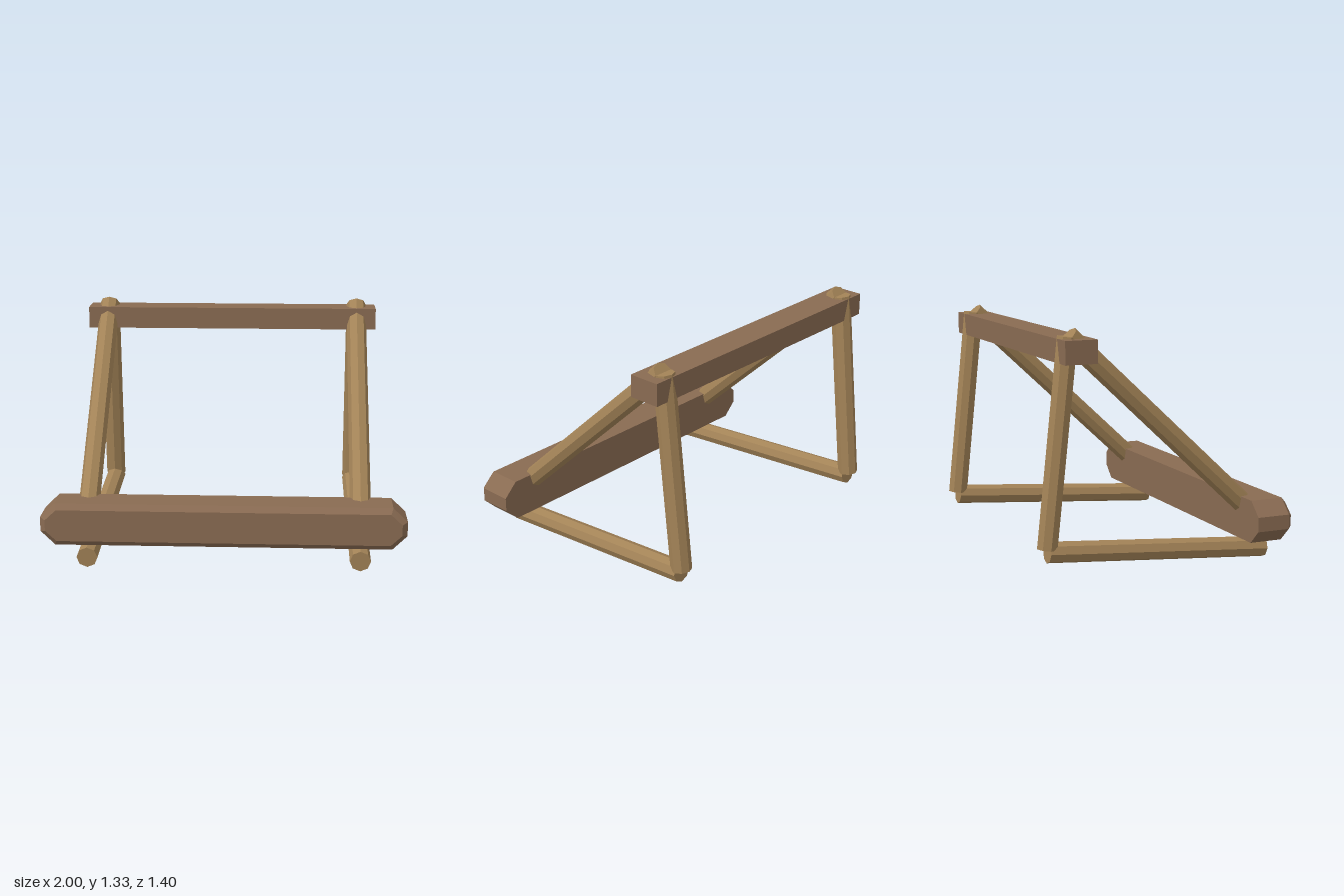
import * as THREE from 'three';

const beamWood = new THREE.MeshStandardMaterial({ color: 0x896b52, flatShading: true });
beamWood.name = 'brown beam wood';
const poleWood = new THREE.MeshStandardMaterial({ color: 0xa38357, flatShading: true });
poleWood.name = 'tan pole wood';

const POLE_RADIUS = 0.058;

// Eight-sided pole between two points
function pole(name, from, to) {
  const a = new THREE.Vector3(...from);
  const b = new THREE.Vector3(...to);
  const dir = b.clone().sub(a);
  const geo = new THREE.CylinderGeometry(POLE_RADIUS, POLE_RADIUS, dir.length(), 8);
  const mesh = new THREE.Mesh(geo, poleWood);
  // tilt only within the side plane so the facets stay aligned
  mesh.rotation.x = Math.atan2(dir.z, dir.y);
  mesh.position.copy(a).add(b).multiplyScalar(0.5);
  mesh.name = name;
  return mesh;
}

// Front beam: clipped corners, with a chamfer around the front face
function frontBeam() {
  const corners = [
    [0.92, -0.1175], [1, -0.04], [1, 0.04], [0.92, 0.1175],
    [-0.92, 0.1175], [-1, 0.04], [-1, -0.04], [-0.92, -0.1175],
  ];
  const shape = new THREE.Shape(corners.map(([x, y]) => new THREE.Vector2(x, y)));
  const geo = new THREE.ExtrudeGeometry(shape, { depth: 0.22, steps: 2, bevelEnabled: false });
  const pos = geo.attributes.position;
  for (let i = 0; i < pos.count; i++) {
    const x = pos.getX(i), z = pos.getZ(i);
    if (z > 0.2) {
      // inset the front outline
      pos.setX(i, Math.sign(x) * (Math.abs(x) * 0.775 + 0.195));
      pos.setY(i, pos.getY(i) * 0.745);
    } else if (z > 0.05) {
      pos.setZ(i, 0.19);
    }
  }
  geo.computeVertexNormals();
  const mesh = new THREE.Mesh(geo, beamWood);
  mesh.position.set(0, 0.2575, 0.48);
  mesh.name = 'frontBeam';
  return mesh;
}

export function createModel() {
  const group = new THREE.Group();
  group.name = 'woodenFrame';

  group.add(frontBeam());

  // Plain square-cut rail along the top
  const topBeam = new THREE.Mesh(new THREE.BoxGeometry(1.726, 0.125, 0.18), beamWood);
  topBeam.position.set(0, 1.2225, -0.49);
  topBeam.name = 'topBeam';
  group.add(topBeam);

  // One triangle of poles on each side
  for (const side of [-1, 1]) {
    const x = side * 0.75;
    const frame = new THREE.Group();
    frame.name = side > 0 ? 'leftFrame' : 'rightFrame';
    frame.add(
      pole('groundPole', [x, 0.168, -0.64], [x, 0.063, 0.655]),
      pole('backPole', [x, 0.186, -0.64], [x, 1.294, -0.522]),
      pole('slopingPole', [x, 0.253, 0.60], [x, 1.294, -0.519]),
    );
    group.add(frame);
  }
  return group;
}
